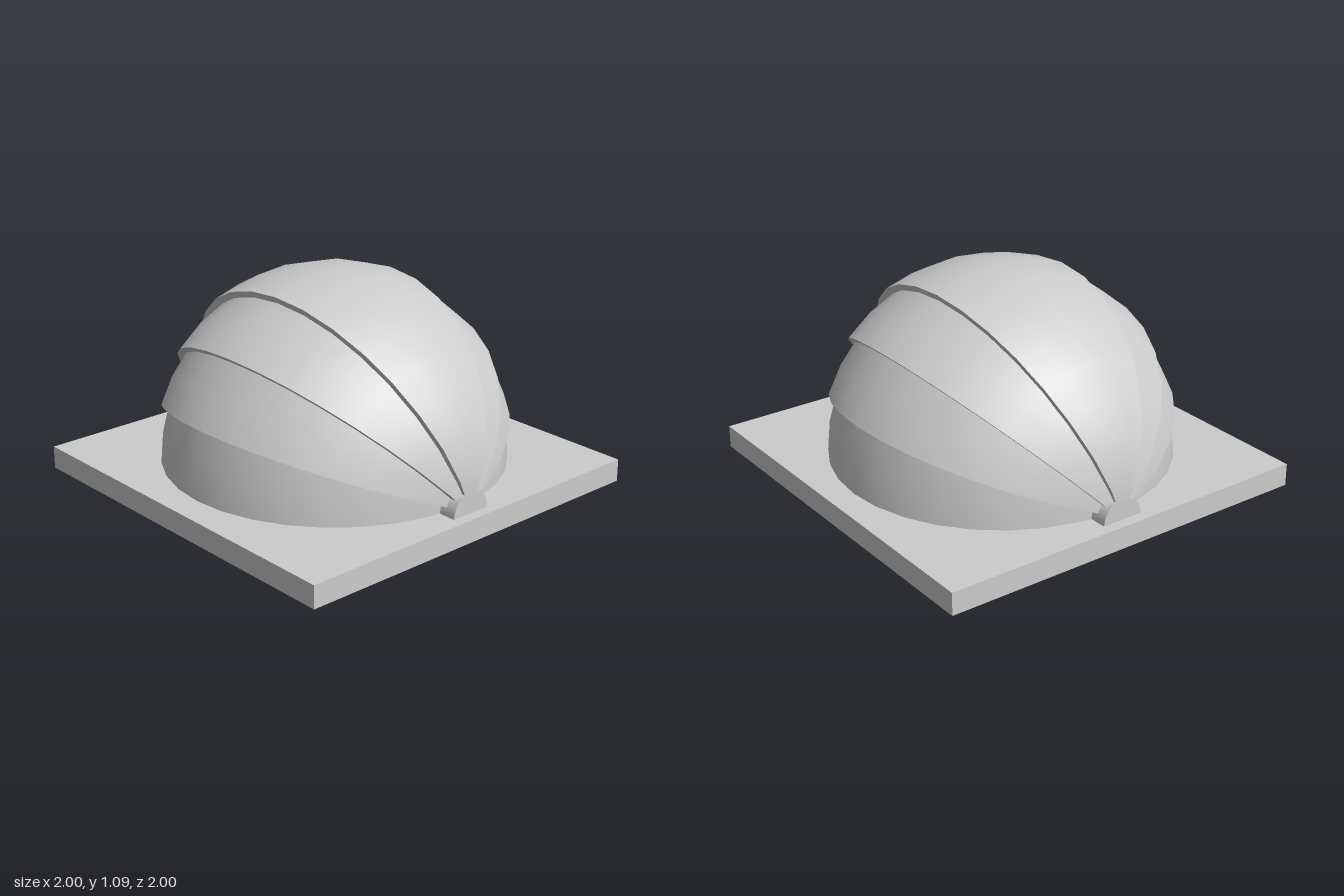
import * as THREE from 'three';
import { mergeGeometries, toCreasedNormals } from 'three/addons/utils/BufferGeometryUtils.js';

const BASE_H = 0.115;   // top of the base plate, also the pivot height
const HUB_R = 0.11;
const HUB_X = 0.945;    // outer face of the hubs
const THICK = 0.035;
const deg = THREE.MathUtils.degToRad;

const material = new THREE.MeshStandardMaterial({ color: 0xcccccc });
const shellMaterial = new THREE.MeshStandardMaterial({ color: 0xcccccc, side: THREE.DoubleSide });

function addMesh(parent, name, geometry, mat = material) {
  const mesh = new THREE.Mesh(geometry, mat);
  mesh.name = name;
  parent.add(mesh);
  return mesh;
}

// Arc from one hub to the other, as (distance from axis, position along axis)
function arc(radius) {
  const points = [];
  const start = Math.asin((HUB_R - 0.015) / radius);
  for (let i = 0; i <= 16; i++) {
    const t = THREE.MathUtils.clamp((i / 16) * Math.PI, start, Math.PI - start);
    const along = THREE.MathUtils.clamp(-radius * Math.cos(t), -HUB_X + 0.002, HUB_X - 0.002);
    points.push(new THREE.Vector2(radius * Math.sin(t), along));
  }
  return points;
}

// Solid shell segment swept about the x axis; angles rise from the front (+z)
function panelGeometry(radius, from, to, segments) {
  const outer = arc(radius);
  const profile = [...outer, ...arc(radius - THICK).reverse()];
  const closed = [...profile, outer[0].clone()];
  const sweep = new THREE.LatheGeometry(closed, segments, -deg(to), deg(to - from));
  const lips = [from, to].map((a) =>
    new THREE.ShapeGeometry(new THREE.Shape(profile)).rotateY(-deg(a) - Math.PI / 2));
  const merged = mergeGeometries([sweep, ...lips]).rotateZ(-Math.PI / 2);
  return toCreasedNormals(merged, deg(40));
}

export function createModel() {
  const model = new THREE.Group();
  model.name = 'retractableDome';

  // Square base plate with a round opening
  const plate = new THREE.Shape([[-1, -1], [1, -1], [1, 1], [-1, 1]].map((p) => new THREE.Vector2(...p)));
  const opening = new THREE.Path();
  opening.absarc(0, 0.006, 0.83, 0, Math.PI * 2, true);
  plate.holes.push(opening);
  const baseGeometry = new THREE.ExtrudeGeometry(plate, { depth: BASE_H, bevelEnabled: false, curveSegments: 32 });
  baseGeometry.rotateX(-Math.PI / 2);
  addMesh(model, 'base', toCreasedNormals(baseGeometry, deg(40)));

  const dome = new THREE.Group();
  dome.name = 'dome';
  dome.position.set(0, BASE_H, -0.006);
  model.add(dome);

  // Crown panel, then nested panels stepping down to front and back
  addMesh(dome, 'crownPanel', panelGeometry(0.97, 67.5, 112.5, 4), shellMaterial);
  const radii = [0.932, 0.897, 0.862];
  radii.forEach((radius, i) => {
    const low = 45 - 22.5 * i;
    const high = low + 22.5 + 2; // tucked slightly under the panel above
    addMesh(dome, `frontPanel${i + 1}`, panelGeometry(radius, low, high, 2), shellMaterial);
    addMesh(dome, `backPanel${i + 1}`, panelGeometry(radius, 180 - high, 180 - low, 2), shellMaterial);
  });

  // Pivot hubs with a ringed, domed inner face
  const hubProfile = [
    [0, 0.8], [0.04, 0.807], [0.065, 0.825], [0.075, 0.83], [0.085, 0.815],
    [0.1, 0.81], [HUB_R, 0.82], [HUB_R, HUB_X], [0, HUB_X],
  ].map((p) => new THREE.Vector2(...p));
  for (const side of [1, -1]) {
    const geometry = new THREE.LatheGeometry(hubProfile, 24).rotateZ(-Math.PI / 2);
    const hub = addMesh(dome, side > 0 ? 'leftHub' : 'rightHub', toCreasedNormals(geometry, deg(40)));
    if (side < 0) hub.rotation.y = Math.PI;
  }

  return model;
}
